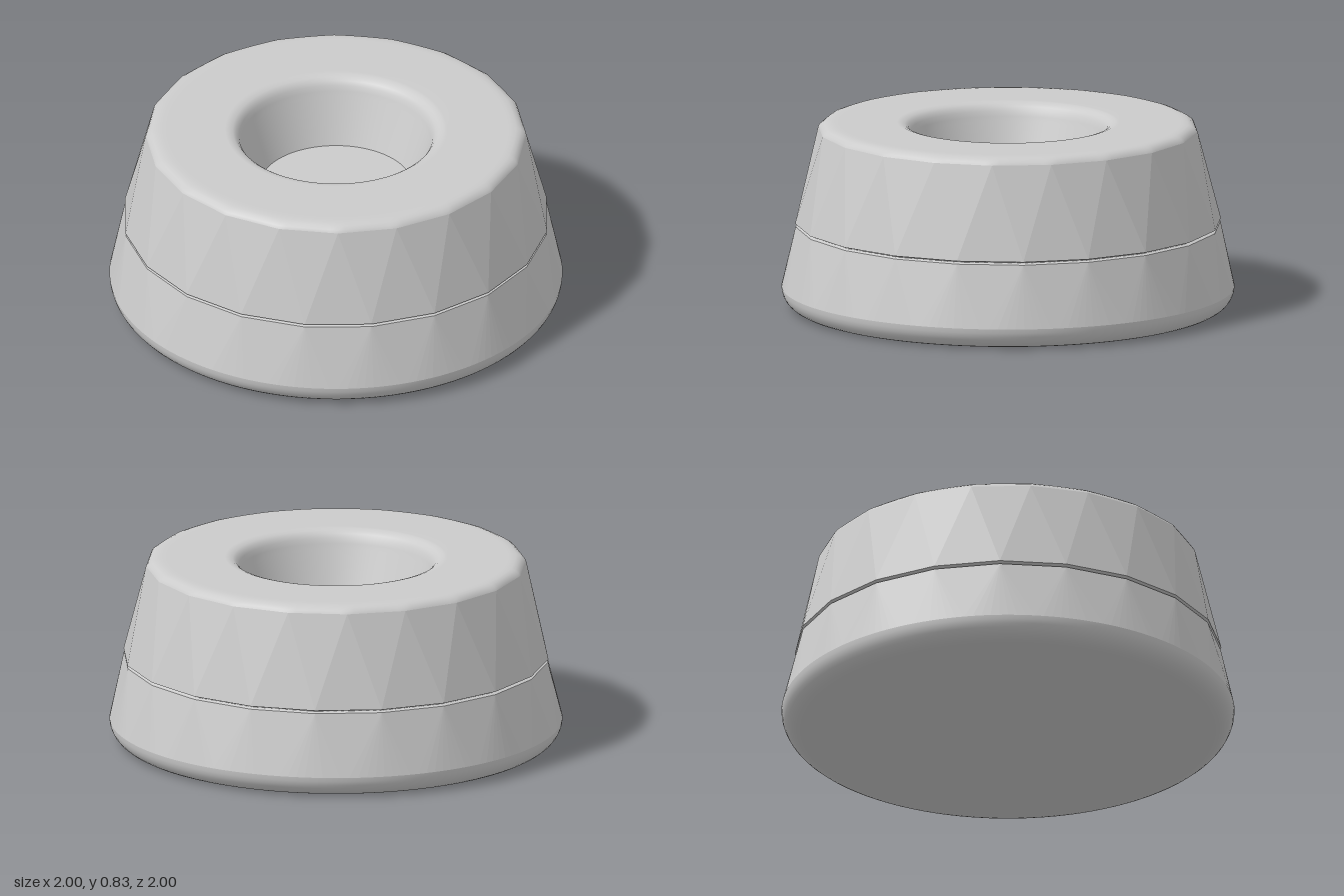
import * as THREE from 'three';

const SIDES = 20;            // flat facets around the body
const FINE = 8;              // samples per facet
const N = SIDES * FINE;
const STEP = (Math.PI * 2) / SIDES;

// Ring point: poly blends from a circle (0) to a 20-sided polygon (1) with corner radius r
function ringPoint(i, { r, y, poly = 0, phase = 0 }) {
  const a = (i / N) * Math.PI * 2;
  const local = ((a - phase) / STEP - Math.floor((a - phase) / STEP + 1e-6) - 0.5) * STEP;
  const polygonR = (r * Math.cos(STEP / 2)) / Math.cos(local);
  const rad = r + (polygonR - r) * poly;
  return [Math.sin(a) * rad, y, Math.cos(a) * rad];
}

// Smooth skin through a list of rings, from the underside up the outside and inwards
function loft(rings) {
  const pos = [], idx = [];
  for (const ring of rings) for (let i = 0; i < N; i++) pos.push(...ringPoint(i, ring));
  for (let k = 0; k < rings.length - 1; k++) {
    for (let i = 0; i < N; i++) {
      const j = (i + 1) % N;
      const a = k * N + i, b = k * N + j, c = a + N, d = b + N;
      if (rings[k].r > 0) idx.push(a, b, d);
      if (rings[k + 1].r > 0) idx.push(a, d, c);
      else if (rings[k].r > 0) idx.push(b, c, a), idx.splice(-6, 3);
    }
  }
  const g = new THREE.BufferGeometry();
  g.setAttribute('position', new THREE.Float32BufferAttribute(pos, 3));
  g.setIndex(idx);
  g.computeVertexNormals();
  return g;
}

// Zigzag band of flat triangles between a fine ring and a ring of half-step corners
function facetBand(fine, corners) {
  const pos = [];
  const up = corners.y > fine.y;
  const tri = (a, b, c) => pos.push(...a, ...(up ? b : c), ...(up ? c : b));
  const corner = (k) => ringPoint(((k % SIDES) + 0.5) * FINE, corners);
  for (let k = 0; k < SIDES; k++) {
    for (let i = 0; i < FINE; i++) {
      const n = k * FINE + i;
      tri(ringPoint(n, fine), ringPoint((n + 1) % N, fine), corner(k));
    }
    tri(corner(k), ringPoint(((k + 1) * FINE) % N, fine), corner(k + 1));
  }
  const g = new THREE.BufferGeometry();
  g.setAttribute('position', new THREE.Float32BufferAttribute(pos, 3));
  g.computeVertexNormals();
  return g;
}

export function createModel() {
  const group = new THREE.Group();
  const material = new THREE.MeshStandardMaterial({ color: 0xcccccc });
  const add = (name, geometry) => {
    const mesh = new THREE.Mesh(geometry, material);
    mesh.name = name;
    group.add(mesh);
  };

  const seam = (r, y) => ({ r, y, poly: 1, phase: STEP / 2 });
  const baseRim = { r: 1, y: 0.095 };
  const lowerSeam = seam(0.94, 0.372);
  const upperSeam = seam(0.942, 0.386);
  const shoulder = { r: 0.84, y: 0.8, poly: 1 };

  // Flat underside and rounded foot
  add('underside', loft([{ r: 0, y: 0 }, { r: 0.905, y: 0 }]));
  const foot = [];
  for (let i = 0; i <= 8; i++) {
    const t = (i / 8) * Math.PI / 2;
    foot.push({ r: 0.905 + 0.095 * Math.sin(t), y: 0.095 * (1 - Math.cos(t)) });
  }
  add('roundedFoot', loft(foot));

  // Faceted sides with a thin groove between them
  add('lowerSide', facetBand(baseRim, lowerSeam));
  add('groove', loft([lowerSeam, seam(0.922, 0.376), seam(0.922, 0.381), upperSeam]));
  add('upperSide', facetBand(shoulder, upperSeam));

  // Shoulder softening from polygon to circle, flat top, rounded lip of the recess
  add('top', loft([
    shoulder,
    { r: 0.832, y: 0.812, poly: 0.85 },
    { r: 0.815, y: 0.823, poly: 0.55 },
    { r: 0.795, y: 0.829, poly: 0.25 },
    { r: 0.77, y: 0.831 },
    { r: 0.75, y: 0.831 },
    { r: 0.49, y: 0.831 },
    { r: 0.475, y: 0.83 },
    { r: 0.455, y: 0.824 },
    { r: 0.44, y: 0.813 },
    { r: 0.428, y: 0.795 },
    { r: 0.42, y: 0.772 },
    { r: 0.413, y: 0.75 },
    { r: 0.338, y: 0.54 },
  ]));
  add('recessFloor', loft([{ r: 0.338, y: 0.54 }, { r: 0, y: 0.54 }]));

  return group;
}
